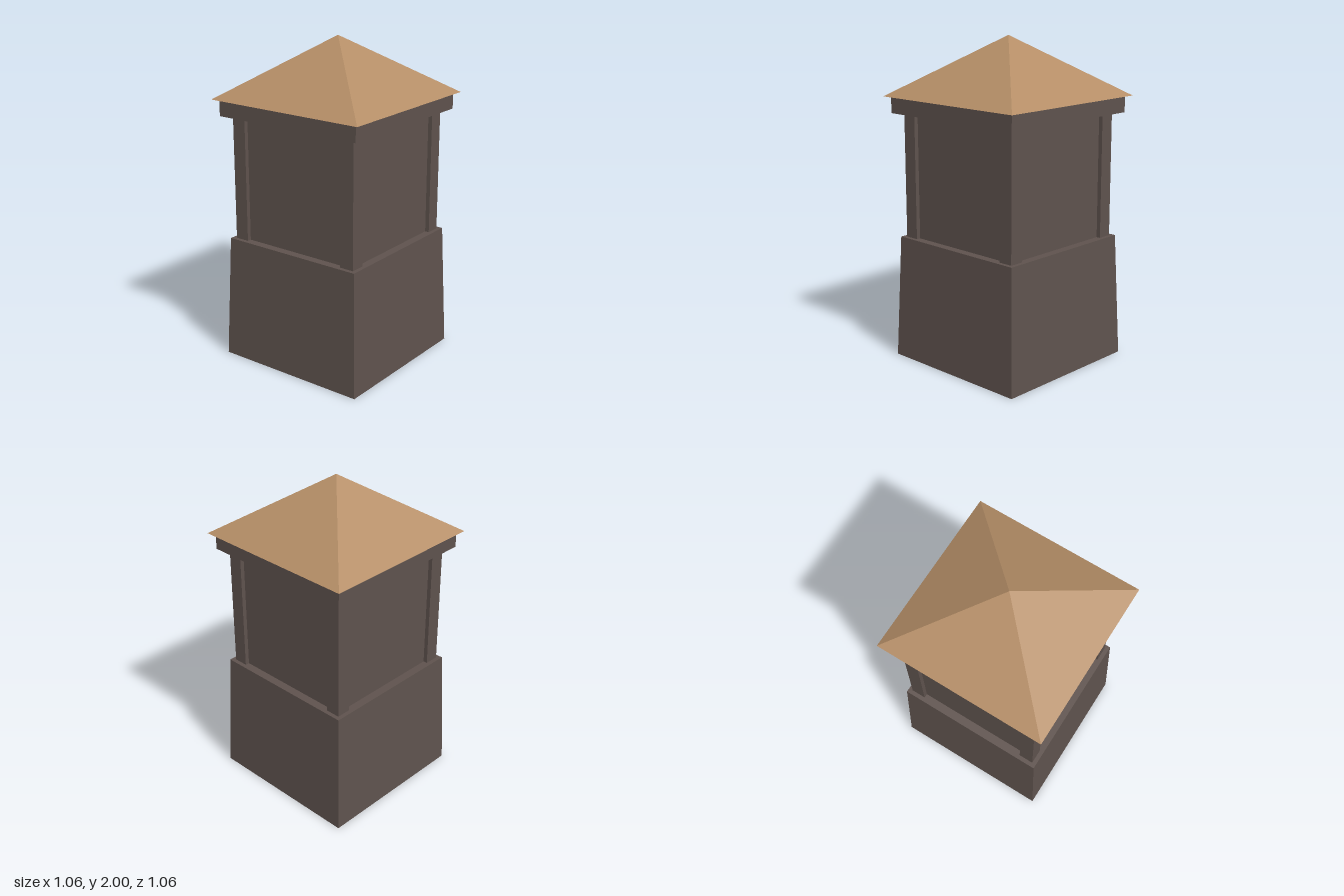
import * as THREE from 'three';

export function createModel() {
  const group = new THREE.Group();
  const darkWood = new THREE.MeshStandardMaterial({ color: 0x5e524d, flatShading: true, side: THREE.DoubleSide });
  const tanRoof = new THREE.MeshStandardMaterial({ color: 0xb48d66, flatShading: true, side: THREE.DoubleSide });

  const add = (name, geometry, material, x, y, z) => {
    const mesh = new THREE.Mesh(geometry, material);
    mesh.name = name;
    mesh.position.set(x, y, z);
    group.add(mesh);
    return mesh;
  };

  // Open four-sided frustum, given by its half widths and its bottom and top heights
  const frustum = (topHalf, bottomHalf, y0, y1) =>
    new THREE.CylinderGeometry(topHalf * Math.SQRT2, bottomHalf * Math.SQRT2, y1 - y0, 4, 1, true)
      .rotateY(Math.PI / 4)
      .translate(0, (y0 + y1) / 2, 0);

  // Tapered skirt, hollow from below, closed by a flat ledge
  add('baseSkirt', frustum(0.467, 0.495, 0, 0.77), darkWood, 0, 0, 0);
  add('baseLedge', new THREE.PlaneGeometry(0.934, 0.934).rotateX(-Math.PI / 2), darkWood, 0, 0.77, 0);

  // Recessed wall panels
  add('wallPanels', new THREE.BoxGeometry(0.83, 0.77, 0.83), darkWood, 0, 1.155, 0);

  // Corner posts, standing slightly proud of the panels
  for (const x of [-1, 1]) {
    for (const z of [-1, 1]) {
      add('cornerPost', new THREE.BoxGeometry(0.09, 0.77, 0.09), darkWood, x * 0.396, 1.155, z * 0.396);
    }
  }

  // Eaves band and pyramid roof
  add('eavesBand', new THREE.BoxGeometry(0.99, 0.1, 0.99), darkWood, 0, 1.587, 0);
  add('roof', frustum(0, 0.528, 1.638, 2), tanRoof, 0, 0, 0);

  return group;
}
